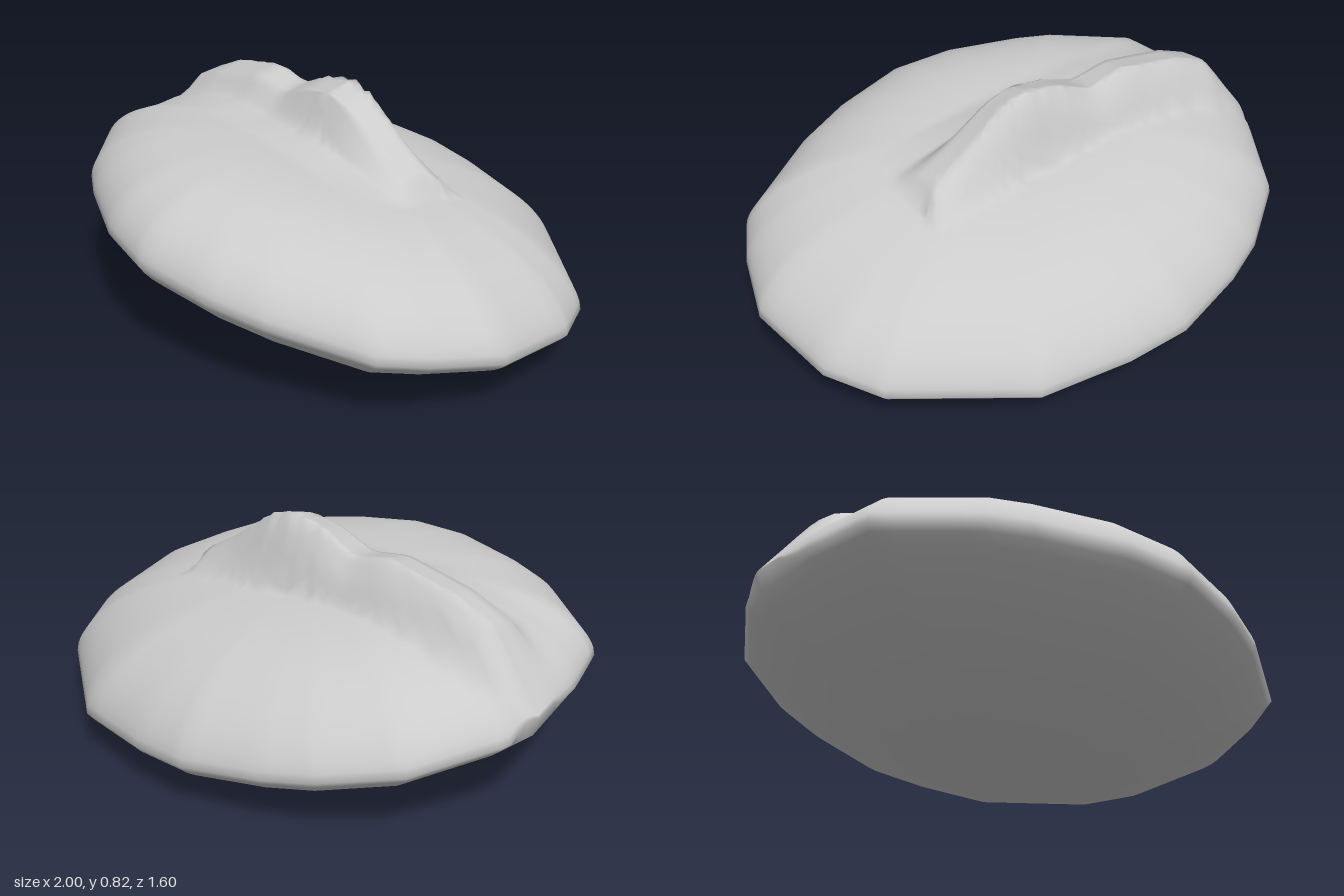
import * as THREE from 'three';
import { mergeVertices } from 'three/addons/utils/BufferGeometryUtils.js';

// Rim outline seen from above (x, z)
const OUTLINE = [
  [0.05, 0.8], [0.33, 0.74], [0.53, 0.66], [0.84, 0.47], [0.92, 0.32], [1, 0.08], [0.95, -0.25],
  [0.84, -0.44], [0.43, -0.73], [0.1, -0.79], [-0.12, -0.8], [-0.4, -0.73], [-0.57, -0.66],
  [-0.8, -0.5], [-0.96, -0.23], [-1, -0.1], [-0.97, 0.15], [-0.91, 0.37], [-0.64, 0.59],
  [-0.5, 0.66], [-0.2, 0.77],
];
// Height of the ridge crest along x
const CREST = [
  [-1, 0.4], [-0.8, 0.66], [-0.66, 0.72], [-0.4, 0.77], [-0.25, 0.74], [-0.12, 0.8],
  [0.02, 0.83], [0.12, 0.8], [0.3, 0.67], [0.45, 0.58],
];
// Ridge cross-section along z: share of the crest height
const SECTION = [[-0.2, 0], [-0.165, 0.5], [-0.11, 1], [0, 0.85], [0.07, 0.2], [0.2, 0]];

function sample(table, t) {
  for (let i = 1; i < table.length; i++) {
    const [a, va] = table[i - 1], [b, vb] = table[i];
    if (t >= a && t <= b) return va + (vb - va) * (t - a) / (b - a);
  }
  return 0;
}

const rimHeight = (x, z) => 0.285 - 0.085 * x + 0.135 * z;

function topHeight(x, z, r) {
  const base = rimHeight(x, z) + 0.315 * Math.pow(1 - r ** 3, 0.6);
  return base + Math.max(0, sample(CREST, x) - base) * sample(SECTION, z);
}

function bottomHeight(x, z, r) {
  return Math.max(0, rimHeight(x, z) - 0.265 * Math.pow(1 - r ** 2.5, 0.8));
}

function bodyGeometry() {
  const perEdge = 5, topRings = 38, bottomRings = 16;
  const n = OUTLINE.length * perEdge;
  const rings = [];
  const spread = t => 1 - Math.pow(1 - t, 1.4);
  for (let i = 0; i <= topRings; i++) rings.push([spread(i / topRings), topHeight]);
  for (let i = bottomRings - 1; i >= 0; i--) rings.push([spread(i / bottomRings), bottomHeight]);

  const positions = [], index = [];
  rings.forEach(([r, height], k) => {
    for (let i = 0; i < n; i++) {
      const e = Math.floor(i / perEdge), f = (i % perEdge) / perEdge;
      const a = OUTLINE[e], b = OUTLINE[(e + 1) % OUTLINE.length];
      const x = r * (a[0] + (b[0] - a[0]) * f);
      const z = r * (a[1] + (b[1] - a[1]) * f);
      positions.push(x, height(x, z, r), z);
      if (k === 0) continue;
      const j = (i + 1) % n, p = (k - 1) * n, q = k * n;
      if (k < rings.length - 1) index.push(p + i, q + i, q + j);
      if (k > 1) index.push(p + i, q + j, p + j);
    }
  });
  let geometry = new THREE.BufferGeometry();
  geometry.setAttribute('position', new THREE.Float32BufferAttribute(positions, 3));
  geometry.setIndex(index);
  geometry = mergeVertices(geometry, 1e-5);
  geometry.computeVertexNormals();
  return geometry;
}

export function createModel() {
  const group = new THREE.Group();
  group.name = 'ridgedStone';
  // Tilted rounded body with the ridge drawn up out of its top
  const body = new THREE.Mesh(bodyGeometry(), new THREE.MeshStandardMaterial({ color: 0xcccccc }));
  body.name = 'stoneBody';
  group.add(body);
  return group;
}
